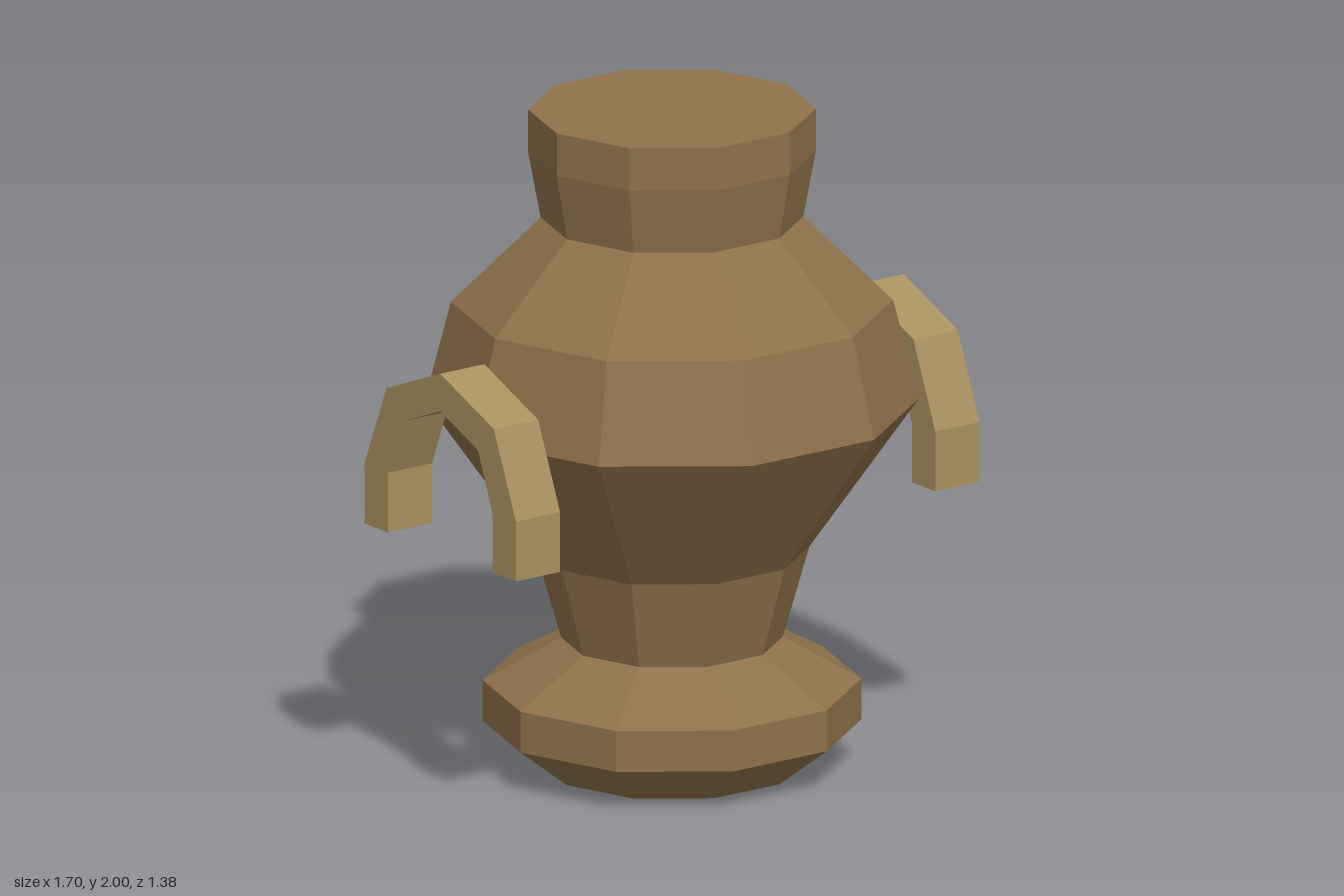
import * as THREE from 'three';

const clay = new THREE.MeshStandardMaterial({ color: 0x8f724b, flatShading: true });
clay.name = 'brown clay';
const tan = new THREE.MeshStandardMaterial({ color: 0xa8905f, flatShading: true });
tan.name = 'tan clay';

// Ten-sided turned section, profile given as [radius, height] from bottom to top
function turned(name, profile) {
  const points = profile.map(([r, y]) => new THREE.Vector2(r, y));
  const mesh = new THREE.Mesh(new THREE.LatheGeometry(points, 10, Math.PI / 2), clay);
  mesh.name = name;
  return mesh;
}

// Faceted arch, extruded sideways
function handle(name, x) {
  const outer = [[0.37, 0.795], [0.37, 0.978], [0.263, 1.235], [0, 1.342]];
  const inner = [[0.255, 0.795], [0.255, 0.978], [0.185, 1.152], [0, 1.228]];
  const arch = (half) => [...half, ...half.slice(0, -1).reverse().map(([z, y]) => [-z, y])];
  const outline = [...arch(outer), ...arch(inner).reverse()];
  const shape = new THREE.Shape(outline.map(([z, y]) => new THREE.Vector2(z, y)));
  const width = 0.162;
  const geometry = new THREE.ExtrudeGeometry(shape, { depth: width, bevelEnabled: false });
  geometry.translate(0, 0, -width / 2);
  geometry.rotateY(-Math.PI / 2);
  const mesh = new THREE.Mesh(geometry, tan);
  mesh.name = name;
  mesh.position.x = x;
  return mesh;
}

export function createModel() {
  const urn = new THREE.Group();
  urn.name = 'urn';
  urn.add(
    turned('foot', [[0, 0], [0.385, 0], [0.555, 0.13], [0.555, 0.255], [0.325, 0.385]]),
    turned('stem', [[0.325, 0.385], [0.403, 0.66]]),
    turned('belly', [[0.403, 0.66], [0.725, 1.112], [0.648, 1.413], [0.385, 1.67]]),
    turned('neck and lid', [[0.385, 1.67], [0.422, 1.87], [0.422, 2], [0, 2]]),
  );
  // Mirrored pair of handles
  urn.add(handle('leftHandle', 0.768), handle('rightHandle', -0.768));
  return urn;
}
